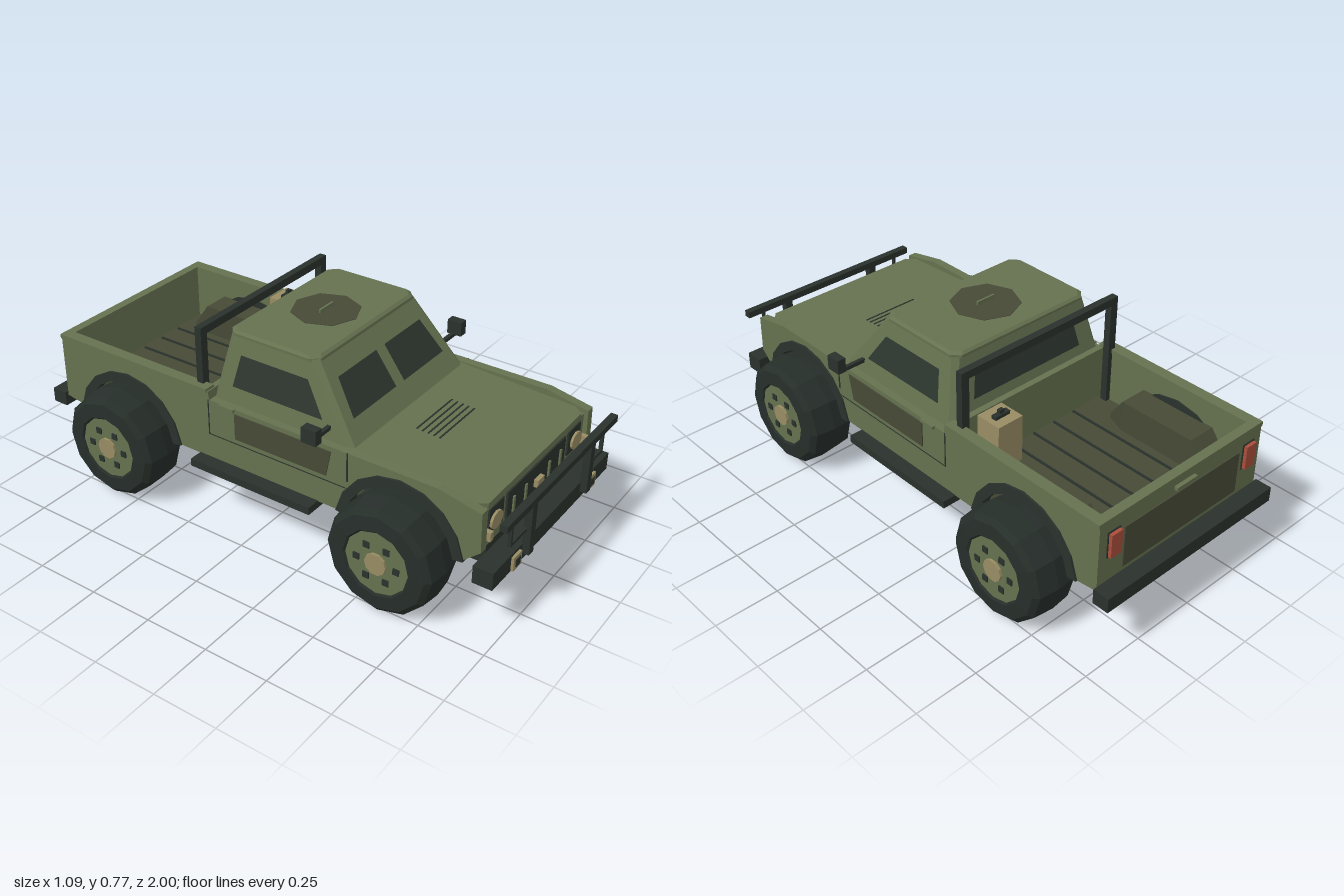
import * as THREE from 'three';

const mat = (name, color, side = THREE.FrontSide) => {
  const m = new THREE.MeshStandardMaterial({ color, flatShading: true, side });
  m.name = name;
  return m;
};

export function createModel() {
  const root = new THREE.Group();
  root.name = 'pickupTruck';
  const green = mat('bodyGreen', 0x65714f);
  const olive = mat('darkOlive', 0x464a36);
  const dark = mat('darkTrim', 0x2a322c);
  const rubber = mat('tyreRubber', 0x262e2a);
  const glass = mat('windowGlass', 0x2d362f, THREE.DoubleSide);
  const tan = mat('tan', 0x988c64);
  const red = mat('tailRed', 0xa84e3b);

  const add = (name, geo, m, parent = root) => {
    const mesh = new THREE.Mesh(geo, m);
    mesh.name = name;
    parent.add(mesh);
    return mesh;
  };
  // box given by its limits on each axis
  const box = (name, m, x0, x1, y0, y1, z0, z1, parent = root) => {
    const g = new THREE.BoxGeometry(x1 - x0, y1 - y0, z1 - z0);
    g.translate((x0 + x1) / 2, (y0 + y1) / 2, (z0 + z1) / 2);
    return add(name, g, m, parent);
  };
  // the same box on both sides
  const pair = (name, m, x0, x1, ...r) => {
    box(name + 'Left', m, x0, x1, ...r);
    box(name + 'Right', m, -x1, -x0, ...r);
  };
  // closed solid through rings of points
  const loft = (rings) => {
    const p = [], n = rings[0].length;
    const tri = (...v) => v.forEach((q) => p.push(...q));
    for (let i = 0; i < rings.length - 1; i++) {
      for (let j = 0; j < n; j++) {
        const k = (j + 1) % n, a = rings[i], b = rings[i + 1];
        tri(a[j], a[k], b[k]);
        tri(a[j], b[k], b[j]);
      }
    }
    const s = rings[0], e = rings[rings.length - 1];
    for (let j = 1; j < n - 1; j++) {
      tri(s[0], s[j + 1], s[j]);
      tri(e[0], e[j], e[j + 1]);
    }
    const g = new THREE.BufferGeometry();
    g.setAttribute('position', new THREE.Float32BufferAttribute(p, 3));
    g.computeVertexNormals();
    return g;
  };
  const quad = (a, b, c, d) => {
    const g = new THREE.BufferGeometry();
    g.setAttribute('position', new THREE.Float32BufferAttribute([a, b, c, a, c, d].flat(), 3));
    g.computeVertexNormals();
    return g;
  };
  // level ring with cut corners, and upright rectangular ring
  const cutRing = (y, hx, zf, zb, c) => [
    [hx - c, y, zf], [hx, y, zf - c], [hx, y, zb + c], [hx - c, y, zb],
    [c - hx, y, zb], [-hx, y, zb + c], [-hx, y, zf - c], [c - hx, y, zf]];
  const rectRing = (z, x0, x1, y0, y1) => [[x0, y0, z], [x1, y0, z], [x1, y1, z], [x0, y1, z]];

  // chassis and steps
  box('chassis', dark, -0.285, 0.285, 0.177, 0.255, -0.865, 0.87);
  pair('sideStep', dark, 0.365, 0.455, 0.222, 0.252, -0.26, 0.27);

  // side panels with wheel arches, and arch flares
  const arc = (cz, r, a0, a1, n) => Array.from({ length: n + 1 }, (_, i) => {
    const a = a0 + (a1 - a0) * i / n;
    return new THREE.Vector2(cz + r * Math.cos(a), 0.215 + r * Math.sin(a));
  });
  const V = (z, y) => new THREE.Vector2(z, y);
  const A0 = 0.14, A1 = Math.PI - 0.14;
  const sideShape = new THREE.Shape([
    V(-0.93, 0.525), V(-0.92, 0.26), ...arc(-0.6, 0.245, A1, A0, 8),
    ...arc(0.6, 0.245, A1, A0, 8), V(0.91, 0.31), V(0.905, 0.46),
    V(0.74, 0.493), V(-0.205, 0.493), V(-0.21, 0.525)]);
  const extrudeX = (shape, x0, x1) => {
    const g = new THREE.ExtrudeGeometry(shape, { depth: x1 - x0, bevelEnabled: false });
    return g.rotateY(-Math.PI / 2).translate(x1, 0, 0);
  };
  const flares = [0.6, -0.6].map((z) =>
    new THREE.Shape([...arc(z, 0.254, A0, A1, 8), ...arc(z, 0.216, A1, A0, 8)]));
  for (const [s, n] of [[1, 'Left'], [-1, 'Right']]) {
    const span = (a, b) => (s > 0 ? [a, b] : [-b, -a]);
    add('sidePanel' + n, extrudeX(sideShape, ...span(0.365, 0.4)), green);
    flares.forEach((f, i) => add((i ? 'rear' : 'front') + 'ArchFlare' + n, extrudeX(f, ...span(0.36, 0.408)), dark));
  }

  // sloping hood with vents
  const hoodY = (z) => 0.489 - (z - 0.37) * 0.056;
  add('hood', loft([rectRing(0.37, -0.365, 0.365, 0.44, hoodY(0.37)),
    rectRing(0.855, -0.365, 0.365, 0.43, hoodY(0.855)), rectRing(0.892, -0.335, 0.335, 0.43, hoodY(0.892))]), green);
  for (let i = 0; i < 5; i++) {
    const z = 0.488 + i * 0.023, y = hoodY(z);
    box('hoodVent', dark, -0.12, 0.12, y - 0.002, y + 0.002, z - 0.003, z + 0.003);
  }

  // front panel, grille and lamps
  box('frontPanel', green, -0.365, 0.365, 0.287, 0.445, 0.86, 0.89);
  box('grille', dark, -0.21, 0.21, 0.325, 0.432, 0.885, 0.898);
  for (const x of [-0.17, -0.085, 0.085, 0.17]) box('grilleSlat', green, x - 0.006, x + 0.006, 0.333, 0.398, 0.896, 0.904);
  box('grilleBlock', tan, -0.023, 0.023, 0.35, 0.38, 0.896, 0.915);
  pair('lampBezel', dark, 0.235, 0.33, 0.335, 0.432, 0.885, 0.897);
  pair('frontIndicator', tan, 0.34, 0.36, 0.333, 0.367, 0.885, 0.92);
  for (const s of [1, -1]) {
    const g = new THREE.CylinderGeometry(0.039, 0.039, 0.012, 10).rotateX(Math.PI / 2);
    add('headlight', g.scale(1, 0.85, 1).translate(s * 0.29, 0.376, 0.9), tan);
  }

  // bumpers, bull bar and tow loops
  box('frontBumper', dark, -0.43, 0.43, 0.207, 0.275, 0.9, 0.975);
  box('rearBumper', dark, -0.415, 0.415, 0.222, 0.28, -1, -0.935);
  box('bullBarTop', dark, -0.408, 0.408, 0.43, 0.456, 0.972, 1);
  pair('bullBarPost', dark, 0.2, 0.232, 0.235, 0.435, 0.972, 1);
  pair('lampGuard', dark, 0.333, 0.343, 0.33, 0.432, 0.972, 0.985);
  pair('lampGuardBar', dark, 0.23, 0.343, 0.33, 0.342, 0.972, 0.985);
  pair('towPlate', tan, 0.252, 0.308, 0.21, 0.264, 0.97, 0.985);
  pair('towHole', dark, 0.265, 0.295, 0.222, 0.251, 0.98, 0.988);

  // cabin
  box('lowerCab', green, -0.375, 0.375, 0.29, 0.487, -0.215, 0.395);
  add('cabin', loft([cutRing(0.484, 0.372, 0.392, -0.215, 0.02), cutRing(0.745, 0.312, 0.2, -0.17, 0.02)]), green);
  add('roof', loft([cutRing(0.735, 0.318, 0.208, -0.178, 0.03), cutRing(0.745, 0.318, 0.206, -0.178, 0.03),
    cutRing(0.754, 0.308, 0.195, -0.168, 0.03)]), green);
  const f = (y) => (y - 0.484) / 0.261;
  const sx = (y) => 0.376 - 0.06 * f(y), fz = (y) => 0.396 - 0.192 * f(y), bz = (y) => -0.219 + 0.045 * f(y);
  for (const s of [1, -1]) {
    const w = (x, y) => [s * x, y, fz(y)], d = (z, y) => [s * sx(y), y, z];
    add('windscreen', quad(w(0.026, 0.557), w(0.292, 0.557), w(0.26, 0.676), w(0.026, 0.676)), glass);
    add('sideWindow', quad(d(0.26, 0.556), d(-0.128, 0.556), d(-0.107, 0.675), d(0.18, 0.675)), glass);
    // door panel
    const x0 = s > 0 ? 0.399 : -0.404;
    add('doorPanel', extrudeX(new THREE.Shape([V(0.305, 0.372), V(0.325, 0.475), V(-0.09, 0.475), V(-0.09, 0.372)]),
      x0, x0 + 0.005), olive);
  }
  const r = (x, y) => [x, y, bz(y)];
  add('rearWindow', quad(r(0.26, 0.565), r(-0.26, 0.565), r(-0.235, 0.685), r(0.235, 0.685)), glass);
  pair('doorHandle', green, 0.395, 0.41, 0.482, 0.494, -0.155, -0.09);
  pair('doorSeam', dark, 0.398, 0.402, 0.35, 0.353, -0.21, 0.385);
  pair('doorRearSeam', dark, 0.398, 0.402, 0.35, 0.493, -0.212, -0.208);
  pair('doorFrontSeam', dark, 0.398, 0.402, 0.38, 0.493, 0.388, 0.394);

  // roof hatch
  add('roofHatch', new THREE.CylinderGeometry(0.13, 0.13, 0.006, 8).translate(0, 0.753, 0.02), olive);
  box('hatchHandle', green, -0.04, 0.04, 0.755, 0.77, 0.017, 0.025);

  // door mirrors
  pair('mirrorArm', dark, 0.35, 0.475, 0.53, 0.545, 0.28, 0.295);
  pair('mirror', dark, 0.455, 0.49, 0.54, 0.597, 0.265, 0.325);

  // load bed
  box('bedFloor', olive, -0.365, 0.365, 0.29, 0.31, -0.92, -0.215);
  for (const x of [-0.205, -0.103, 0, 0.103, 0.205]) box('bedRib', dark, x - 0.004, x + 0.004, 0.308, 0.316, -0.89, -0.24);
  box('bedFrontWall', green, -0.37, 0.37, 0.29, 0.525, -0.235, -0.21);
  pair('bedRail', green, 0.36, 0.405, 0.518, 0.535, -0.935, -0.215);
  for (const s of [1, -1]) {
    const ring = (z, x, y) => (s > 0 ? rectRing(z, x, 0.37, 0.3, y) : rectRing(z, -0.37, -x, 0.3, y));
    add('wheelWell', loft([ring(-0.84, 0.265, 0.33), ring(-0.76, 0.25, 0.435),
      ring(-0.44, 0.25, 0.435), ring(-0.36, 0.28, 0.33)]), olive);
  }

  // tailgate and rear lamps
  box('tailgate', green, -0.4, 0.4, 0.262, 0.52, -0.935, -0.905);
  box('tailgateRail', green, -0.405, 0.405, 0.518, 0.535, -0.936, -0.9);
  box('tailgatePanel', olive, -0.285, 0.285, 0.3, 0.465, -0.94, -0.934);
  box('tailgateHandle', green, -0.05, 0.05, 0.485, 0.498, -0.95, -0.934);
  pair('tailLampFrame', dark, 0.306, 0.364, 0.38, 0.483, -0.939, -0.934);
  pair('tailLamp', red, 0.31, 0.36, 0.385, 0.478, -0.952, -0.937);

  // roll bar
  pair('rollBarPost', dark, 0.345, 0.378, 0.3, 0.75, -0.276, -0.248);
  box('rollBarTop', dark, -0.378, 0.378, 0.725, 0.756, -0.276, -0.248);

  // fuel can
  box('fuelCan', tan, 0.225, 0.335, 0.31, 0.587, -0.41, -0.305);
  box('fuelCanCap', dark, 0.247, 0.313, 0.585, 0.6, -0.372, -0.35);
  box('fuelCanSpout', dark, 0.27, 0.29, 0.598, 0.615, -0.367, -0.353);

  // wheels
  const tyre = new THREE.LatheGeometry([[0.12, -0.09], [0.13, -0.1], [0.185, -0.096], [0.205, -0.078], [0.213, 0],
    [0.205, 0.078], [0.185, 0.096], [0.13, 0.1], [0.12, 0.09]].map(([a, b]) => new THREE.Vector2(a, b)), 12)
    .rotateZ(-Math.PI / 2);
  const disc = (rad, w, n) => new THREE.CylinderGeometry(rad, rad, w, n).rotateZ(Math.PI / 2);
  for (const [z, n] of [[0.6, 'front'], [-0.6, 'rear']]) {
    for (const s of [1, -1]) {
      const wheel = new THREE.Group();
      wheel.name = n + 'Wheel' + (s > 0 ? 'Left' : 'Right');
      wheel.position.set(s * 0.44, 0.213, z);
      add('tyre', tyre, rubber, wheel);
      add('hub', disc(0.124, 0.186, 12), green, wheel);
      add('hubCap', disc(0.042, 0.206, 10), tan, wheel);
      for (let i = 0; i < 6; i++) {
        const a = i * Math.PI / 3, y = 0.072 * Math.sin(a), c = 0.078 * Math.cos(a);
        box('wheelNut', dark, -0.098, 0.098, y - 0.012, y + 0.012, c - 0.012, c + 0.012, wheel);
      }
      root.add(wheel);
    }
  }
  return root;
}
